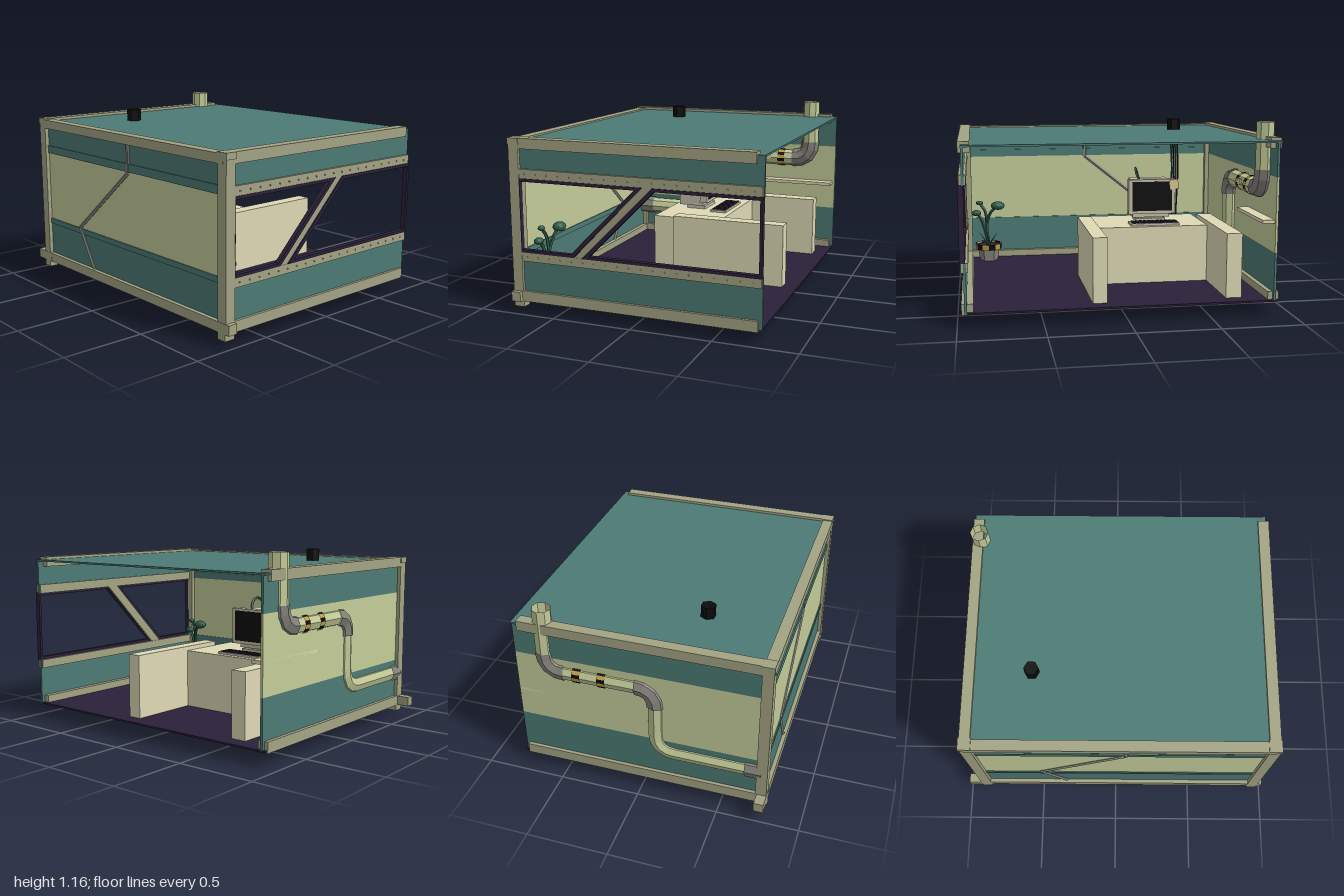
import * as THREE from 'three';

const V = (x, y, z) => new THREE.Vector3(x, y, z);
const mat = (color) => new THREE.MeshStandardMaterial({ color, flatShading: true, side: THREE.DoubleSide });

export function createModel() {
  const root = new THREE.Group();
  root.name = 'cabin';
  const M = {
    teal: mat(0x4c7a74), lime: mat(0xc4cc99), frame: mat(0xa3a384), dark: mat(0x2b2038), cream: mat(0xded9b5),
    black: mat(0x0c0c0c), grey: mat(0x85837c), shell: mat(0xc4bfa8), yellow: mat(0xc0a048), plant: mat(0x2f5c4a),
    paper: mat(0xd8c890),
  };
  const add = (name, geo, m, parent = root) => {
    const mesh = new THREE.Mesh(geo, M[m]);
    mesh.name = name;
    parent.add(mesh);
    return mesh;
  };
  // box given by its min and max on each axis
  const box = (name, m, x0, x1, y0, y1, z0, z1) => {
    const b = add(name, new THREE.BoxGeometry(x1 - x0, y1 - y0, z1 - z0), m);
    b.position.set((x0 + x1) / 2, (y0 + y1) / 2, (z0 + z1) / 2);
    return b;
  };
  const straight = (name, m, a, b, r, sides = 8) =>
    add(name, new THREE.TubeGeometry(new THREE.LineCurve3(a, b), 1, r, sides), m);
  const cable = (name, m, pts, r, seg = 16) =>
    add(name, new THREE.TubeGeometry(new THREE.CatmullRomCurve3(pts), seg, r, 5), m);
  const plate = (name, m, pts, z, depth, hole) => {
    const s = new THREE.Shape(pts.map((p) => new THREE.Vector2(...p)));
    if (hole) s.holes.push(new THREE.Path(hole.map((p) => new THREE.Vector2(...p))));
    const p = add(name, new THREE.ExtrudeGeometry(s, { depth, bevelEnabled: false }), m);
    p.position.z = z;
  };
  // ring of alternating yellow and black sectors
  const hazardBand = (name, rTop, rBottom, h, sectors) => {
    const g = new THREE.Group();
    g.name = name;
    const step = (Math.PI * 2) / sectors;
    for (let i = 0; i < sectors; i++) {
      add('stripe', new THREE.CylinderGeometry(rTop, rBottom, h, 1, 1, true, i * step, step), i % 2 ? 'black' : 'yellow', g);
    }
    root.add(g);
    return g;
  };

  // Roof and floor
  box('roof', 'teal', -0.765, 0.778, 1.055, 1.066, -0.915, 0.957);
  box('floor', 'dark', -0.765, 0.778, 0.094, 0.105, -0.915, 0.957);

  // Banded back and left walls
  for (const [m, y0, y1] of [['teal', 0.1, 0.395], ['lime', 0.395, 0.85], ['teal', 0.85, 1.06]]) {
    box('backWall', m, -0.75, 0.778, y0, y1, -0.9, -0.885);
    box('leftWall', m, -0.755, -0.745, y0, y1, -0.89, 0.95);
  }
  for (const [y0, y1] of [[0.36, 0.395], [0.85, 0.9]]) {
    box('wallMoulding', 'teal', -0.762, -0.738, y0, y1, -0.86, 0.91);
  }

  // Front wall above and below the window strip
  box('frontWallTop', 'teal', -0.75, 0.78, 0.84, 1.065, 0.942, 0.957);
  box('frontWallBottom', 'teal', -0.75, 0.78, 0.095, 0.395, 0.942, 0.957);
  for (const [y0, y1] of [[0.842, 0.9], [0.34, 0.395]]) {
    box('windowRail', 'frame', -0.715, 0.775, y0, y1, 0.93, 0.972);
    for (let i = 0; i < 20; i++) {
      const r = add('rivet', new THREE.CylinderGeometry(0.005, 0.005, 0.006, 6), 'frame');
      r.rotation.x = Math.PI / 2;
      r.position.set(-0.68 + i * 0.074, (y0 + y1) / 2, 0.974);
    }
  }
  // Diagonal brace and dark window frames
  plate('windowBrace', 'frame', [[-0.37, 0.39], [-0.285, 0.39], [0.16, 0.845], [0.075, 0.845]], 0.935, 0.035);
  plate('leftWindowFrame', 'dark', [[-0.715, 0.395], [-0.37, 0.395], [0.08, 0.845], [-0.715, 0.845]], 0.945, 0.03,
    [[-0.712, 0.413], [-0.385, 0.413], [0.028, 0.826], [-0.712, 0.826]]);
  plate('rightWindowFrame', 'dark', [[-0.312, 0.395], [0.778, 0.395], [0.778, 0.845], [0.138, 0.845]], 0.945, 0.033,
    [[-0.262, 0.413], [0.762, 0.413], [0.762, 0.826], [0.151, 0.826]]);

  // Frame beams along the edges, corner posts and feet
  for (const [z0, z1, f0, f1] of [[0.905, 0.974, 0.9, 1], [-0.922, -0.855, -1, -0.84]]) {
    box('topBeam', 'frame', -0.78, 0.738, 1.02, 1.083, z0, z1);
    box('bottomBeam', 'frame', -0.78, 0.758, 0.088, 0.153, z0, z1);
    box('cornerPost', 'frame', -0.78, -0.714, 0.09, 1.078, z0, z1);
    box('cornerCap', 'frame', -0.783, -0.71, 1.045, 1.083, z0 - 0.005, z1 + 0.005);
    box('footBracket', 'frame', -0.782, -0.722, 0.09, 0.15, f0, f1);
    box('foot', 'frame', -0.782, -0.714, 0.05, 0.12, z0 + 0.004, z1 - 0.004);
  }
  box('leftTopBeam', 'frame', -0.783, -0.716, 1.02, 1.076, -0.9, 0.95);
  box('leftBottomBeam', 'frame', -0.78, -0.714, 0.09, 0.15, -0.9, 0.95);

  // Thin conduit on the left wall
  const conduit = [V(-0.75, 1.03, 0.065), V(-0.75, 0.845, 0.065), V(-0.75, 0.4, -0.49), V(-0.75, 0.14, -0.33)];
  for (let i = 0; i < 3; i++) straight('wallConduit', 'grey', conduit[i], conduit[i + 1], 0.016, 6);

  // Large duct partly sunk into the back wall
  const pz = -0.868;
  const P = (x, y) => V(x, y, pz);
  const bend = (m, a, c, b, r) =>
    add('ductElbow', new THREE.TubeGeometry(new THREE.QuadraticBezierCurve3(a, c, b), 4, r, 8), m);
  straight('chimney', 'lime', P(0.595, 1.17), P(0.595, 0.86), 0.058);
  bend('grey', P(0.595, 0.88), P(0.595, 0.755), P(0.47, 0.755), 0.064);
  straight('duct', 'lime', P(0.48, 0.755), P(0.02, 0.755), 0.056);
  bend('grey', P(0.03, 0.755), P(-0.09, 0.755), P(-0.09, 0.635), 0.064);
  straight('duct', 'lime', P(-0.09, 0.65), P(-0.09, 0.42), 0.056);
  bend('lime', P(-0.09, 0.43), P(-0.09, 0.31), P(-0.21, 0.31), 0.057);
  straight('duct', 'lime', P(-0.2, 0.31), P(-0.7, 0.31), 0.056);
  straight('ductFlange', 'grey', P(-0.64, 0.31), P(-0.745, 0.31), 0.064);
  for (const x of [0.232, 0.388]) {
    const b = hazardBand('hazardStrap', 0.061, 0.061, 0.05, 16);
    b.rotation.z = Math.PI / 2;
    b.position.set(x, 0.755, pz);
  }
  box('ductLabel', 'paper', 0.25, 0.315, 0.745, 0.785, -0.815, -0.806);

  // Shelf and desk
  box('shelf', 'cream', 0.25, 0.76, 0.572, 0.593, -0.9, -0.81);
  box('deskBody', 'cream', -0.22, 0.235, 0.05, 0.475, -0.62, 0.12);
  box('deskEnd', 'cream', -0.05, 0.686, 0.075, 0.503, 0.115, 0.203);
  box('deskEnd', 'cream', -0.05, 0.686, 0.075, 0.503, -0.712, -0.615);

  // Monitor, keyboard and note
  box('monitorBase', 'shell', -0.1, 0.03, 0.475, 0.495, -0.38, -0.18);
  box('monitorNeck', 'shell', -0.07, 0, 0.49, 0.54, -0.33, -0.23);
  box('monitorBack', 'shell', -0.15, 0.02, 0.5, 0.75, -0.41, -0.16);
  box('monitorBezel', 'shell', 0.01, 0.064, 0.53, 0.76, -0.44, -0.125);
  box('screen', 'black', 0.06, 0.067, 0.55, 0.745, -0.418, -0.15);
  box('note', 'paper', 0.068, 0.072, 0.693, 0.757, -0.46, -0.4).rotation.x = 0.15;
  box('keyboard', 'shell', 0.09, 0.2, 0.475, 0.489, -0.44, -0.115);
  for (let r = 0; r < 4; r++) {
    for (let k = 0; k < 11; k++) {
      const x = 0.1 + r * 0.025, z = -0.43 + k * 0.028;
      box('key', 'dark', x, x + 0.018, 0.487, 0.495, z, z + 0.021);
    }
  }
  cable('monitorCable', 'plant', [V(-0.14, 0.66, -0.25), V(-0.15, 0.78, -0.22), V(-0.1, 0.82, -0.2),
    V(-0.05, 0.78, -0.2), V(-0.03, 0.74, -0.22)], 0.009);
  cable('monitorCable', 'plant', [V(-0.14, 0.6, -0.35), V(-0.2, 0.52, -0.44), V(-0.26, 0.55, -0.5), V(-0.29, 0.8, -0.51)], 0.007);

  // Roof outlet with hanging cables
  const outlet = add('roofOutlet', new THREE.CylinderGeometry(0.046, 0.046, 0.1, 6), 'black');
  outlet.position.set(-0.293, 1.09, -0.508);
  for (let i = 0; i < 4; i++) {
    const x = -0.305 + i * 0.008, z = -0.485 - i * 0.013;
    cable('hangingCable', i % 2 ? 'dark' : 'plant', [V(x, 1.06, z), V(x + 0.012, 0.8, z - 0.012),
      V(x + 0.035, 0.5, z + 0.005), V(x + 0.05, 0.2, z + 0.015), V(x + 0.055, 0.012 + i * 0.012, z + 0.025)], 0.006);
  }
  straight('looseCable', 'black', V(-0.312, 0.3, -0.5), V(-0.312, 0.02, -0.5), 0.003, 5);

  // Potted plant
  const px = -0.62, pzz = 0.79;
  add('pot', new THREE.CylinderGeometry(0.08, 0.062, 0.125, 6), 'grey').position.set(px, 0.15, pzz);
  hazardBand('potRim', 0.095, 0.09, 0.042, 12).position.set(px, 0.208, pzz);
  add('soil', new THREE.CylinderGeometry(0.088, 0.088, 0.01, 12), 'dark').position.set(px, 0.212, pzz);
  const stems = [
    [[V(px, 0.21, pzz), V(-0.63, 0.36, 0.8), V(-0.61, 0.46, 0.77), V(-0.6, 0.505, 0.72)], 0.042],
    [[V(px, 0.21, pzz), V(-0.64, 0.34, 0.82), V(-0.65, 0.42, 0.85), V(-0.655, 0.445, 0.875)], 0.03],
    [[V(px, 0.21, pzz), V(-0.63, 0.36, 0.8), V(-0.64, 0.46, 0.81), V(-0.65, 0.52, 0.85)], 0.022],
  ];
  for (const [pts, r] of stems) {
    cable('stem', 'plant', pts, 0.011, 10);
    const head = add('bulb', new THREE.IcosahedronGeometry(r, 1), 'plant');
    head.scale.set(0.95, 0.75, 1.2);
    head.position.copy(pts[3]);
  }
  for (let i = 0; i < 4; i++) {
    const leaf = add('leaf', new THREE.ConeGeometry(0.018, 0.11, 4), 'plant');
    leaf.scale.z = 0.3;
    leaf.position.set(px + Math.cos(i * 1.6) * 0.04, 0.27, pzz + Math.sin(i * 1.6) * 0.04);
    leaf.rotation.set(Math.sin(i * 1.6) * 0.6, 0, -Math.cos(i * 1.6) * 0.6);
  }
  return root;
}
